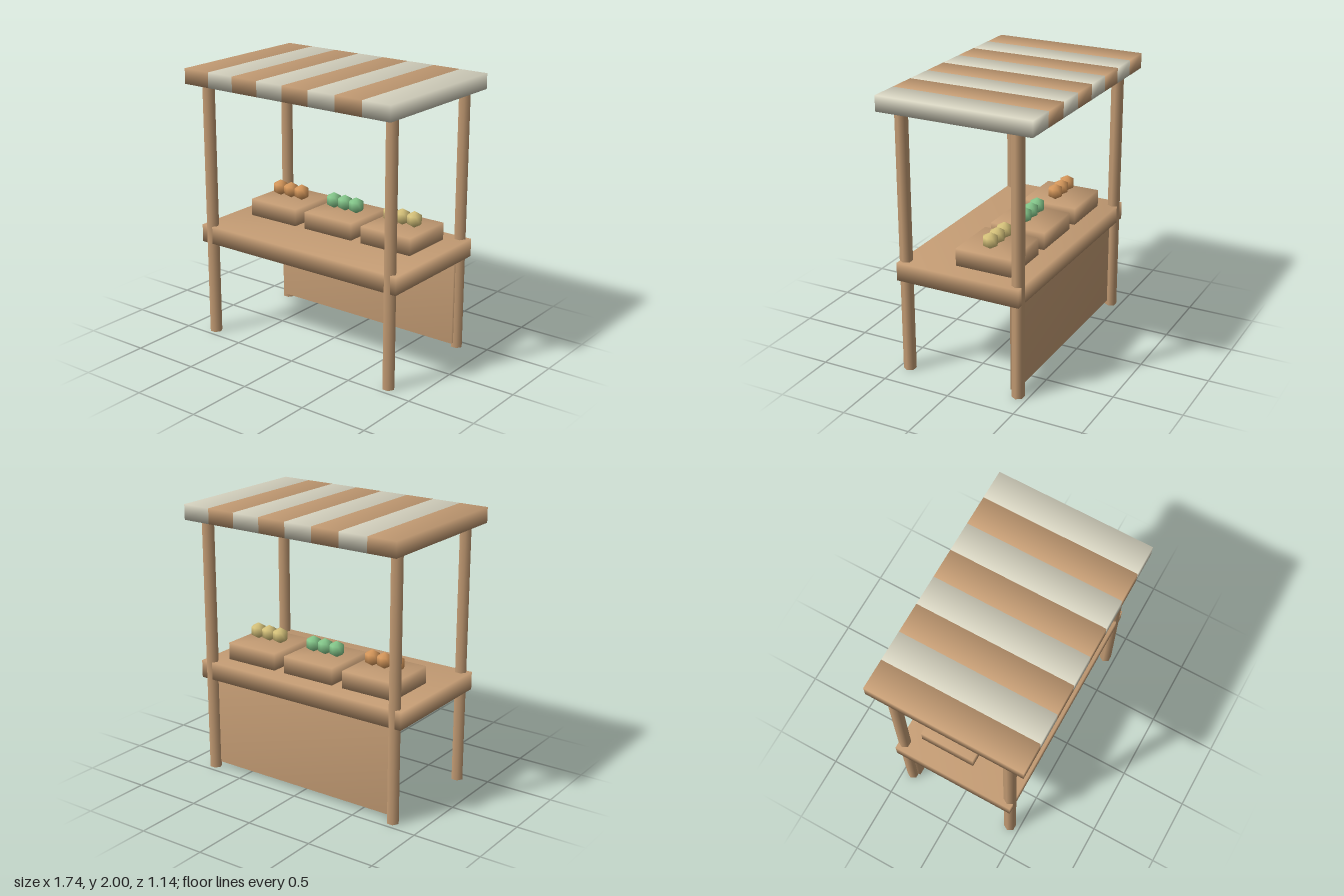
import * as THREE from 'three';
import { mergeVertices } from 'three/addons/utils/BufferGeometryUtils.js';

const paint = (name, color) => {
  const m = new THREE.MeshStandardMaterial({ color });
  m.name = name;
  return m;
};

// Box given by its limits, with normals shared across the edges for a soft low-poly look
function softBox(x0, x1, y0, y1, z0, z1) {
  let g = new THREE.BoxGeometry(x1 - x0, y1 - y0, z1 - z0);
  g.deleteAttribute('normal');
  g.deleteAttribute('uv');
  g = mergeVertices(g);
  g.computeVertexNormals();
  return g.translate((x0 + x1) / 2, (y0 + y1) / 2, (z0 + z1) / 2);
}

export function createModel() {
  const wood = paint('wood', 0xc49c74);
  const cream = paint('cream cloth', 0xd6d3c0);
  const fruits = [
    paint('orange fruit', 0xd8995c),
    paint('green fruit', 0x86c98c),
    paint('yellow fruit', 0xd8c47c),
  ];

  const model = new THREE.Group();
  model.name = 'marketStall';
  const add = (name, geometry, material, x = 0, y = 0, z = 0) => {
    const mesh = new THREE.Mesh(geometry, material);
    mesh.name = name;
    mesh.position.set(x, y, z);
    model.add(mesh);
  };

  // Four six-sided posts, corners pointing sideways
  const post = new THREE.CylinderGeometry(0.045, 0.045, 1.9, 6).rotateY(Math.PI / 6);
  for (const [side, x] of [['left', 0.785], ['right', -0.785]]) {
    add(`${side}FrontPost`, post, wood, x, 0.95, 0.427);
    add(`${side}BackPost`, post, wood, x, 0.95, -0.427);
  }

  // Counter and back panel
  add('counter', softBox(-0.855, 0.855, 0.7, 0.83, -0.463, 0.463), wood);
  add('backPanel', softBox(-0.78, 0.78, 0.035, 0.71, -0.41, -0.365), wood);

  // Striped canopy
  const stripe = 1.74 / 8;
  for (let i = 0; i < 8; i++) {
    const x = -0.87 + i * stripe;
    add(`canopyStripe${i + 1}`, softBox(x, x + stripe, 1.89, 2, -0.57, 0.57), i % 2 ? cream : wood);
  }

  // Three crates, each with a row of three fruits
  const crate = softBox(-0.207, 0.207, 0.83, 0.956, -0.33, 0.085);
  const fruit = new THREE.SphereGeometry(0.06, 8, 3);
  fruits.forEach((material, i) => {
    const x = (i - 1) * 0.5;
    add(`crate${i + 1}`, crate, wood, x);
    for (let j = -1; j <= 1; j++) add(`fruit${i + 1}`, fruit, material, x + j * 0.1, 1.015, -0.122);
  });
  return model;
}
